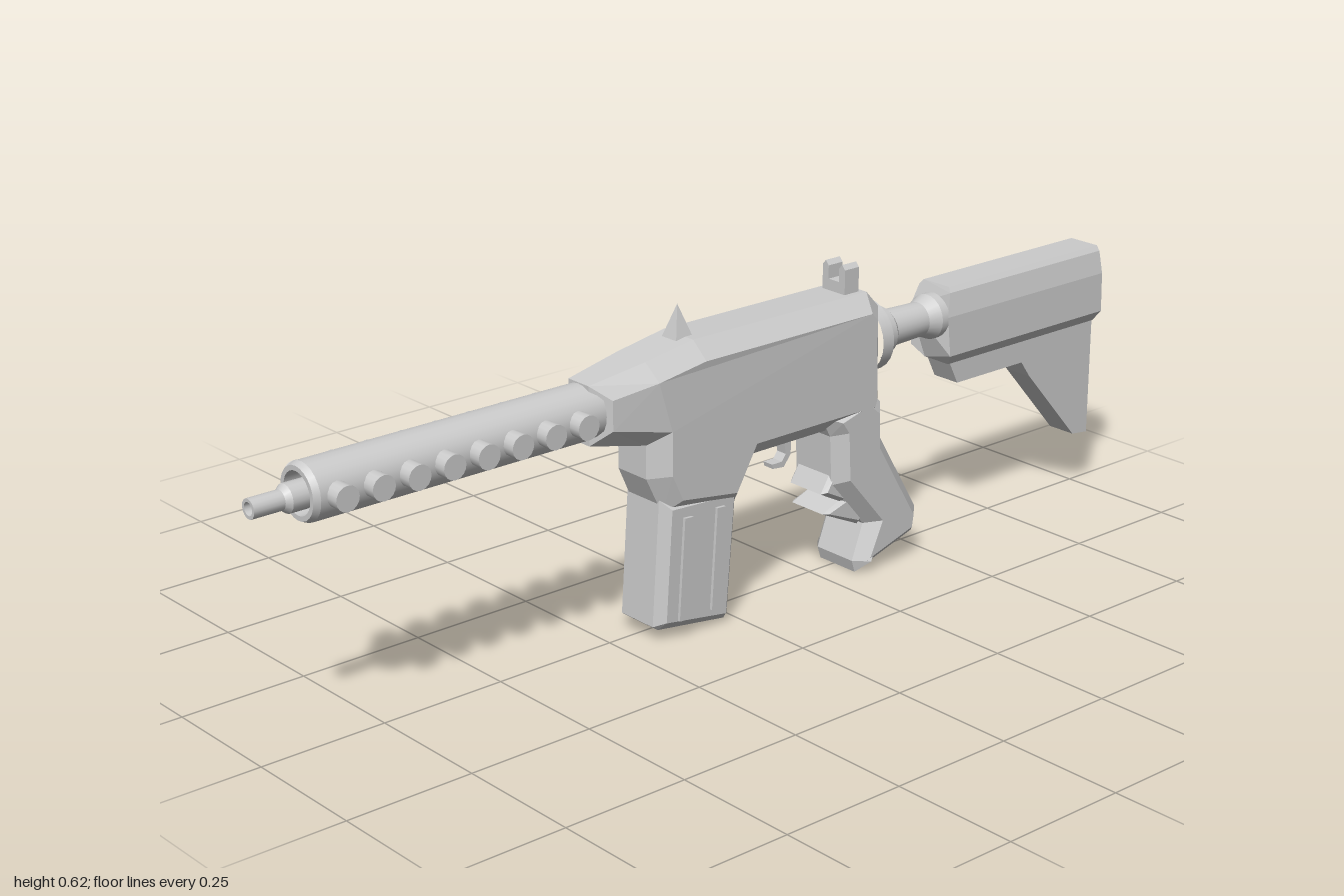
import * as THREE from 'three';

const grey = new THREE.MeshStandardMaterial({ color: 0xcccccc });
const flat = new THREE.MeshStandardMaterial({ color: 0xcccccc, flatShading: true });

function add(parent, name, geometry, material = flat) {
  const mesh = new THREE.Mesh(geometry, material);
  mesh.name = name;
  parent.add(mesh);
  return mesh;
}

// Side profile in x,y, extruded across z with chamfered rims
function plate(points, half, bevel = 0) {
  const shape = new THREE.Shape(points.map(([x, y]) => new THREE.Vector2(x, y)));
  const depth = 2 * (half - bevel);
  return new THREE.ExtrudeGeometry(shape, {
    depth, bevelEnabled: bevel > 0, bevelSize: bevel, bevelThickness: bevel,
    bevelOffset: -bevel, bevelSegments: 1, curveSegments: 6,
  }).translate(0, 0, -depth / 2);
}

// Cross-section in z,y, extruded along x from x0 to x1
function beam(points, x0, x1) {
  const shape = new THREE.Shape(points.map(([z, y]) => new THREE.Vector2(-z, y)));
  return new THREE.ExtrudeGeometry(shape, { depth: x1 - x0, bevelEnabled: false })
    .rotateY(Math.PI / 2).translate(x0, 0, 0);
}

// Turned part along x; points are [x, radius], with hard edges between segments
function turned(parent, name, points, y, sides = 24) {
  const g = new THREE.Group();
  g.name = name;
  for (let i = 0; i < points.length - 1; i++) {
    const pair = [points[i], points[i + 1]].map(([x, r]) => new THREE.Vector2(r, x));
    add(g, name + 'Section', new THREE.LatheGeometry(pair, sides).rotateZ(-Math.PI / 2), grey);
  }
  g.position.y = y;
  parent.add(g);
}

export function createModel() {
  const model = new THREE.Group();
  model.name = 'model';
  const g = new THREE.Group();
  g.name = 'assembly';
  g.position.z = 0.01;
  model.add(g);

  // Receiver with magazine well, narrowed toward the nose
  const body = plate([
    [-0.32, 0.415], [-0.2, 0.39], [-0.2, 0.325], [-0.165, 0.25], [0.005, 0.225],
    [0.055, 0.312], [0.36, 0.312], [0.375, 0.35], [0.372, 0.53], [0.34, 0.565],
    [-0.09, 0.565], [-0.2, 0.547], [-0.32, 0.527],
  ], 0.074, 0.033);
  const p = body.attributes.position;
  for (let i = 0; i < p.count; i++) {
    const t = THREE.MathUtils.clamp((-0.18 - p.getX(i)) / 0.13, 0, 1);
    p.setZ(i, p.getZ(i) * (1 - 0.32 * t));
  }
  body.computeVertexNormals();
  add(g, 'receiver', body);

  // Wedge-shaped ejection port cover on the back side
  add(g, 'ejectionCover', beam([[-0.05, 0.42], [-0.074, 0.42], [-0.097, 0.47], [-0.06, 0.545], [-0.04, 0.545]], 0.04, 0.2));

  // Magazine with raised ribs on both sides
  add(g, 'magazine', plate([
    [-0.175, 0.28], [-0.192, 0.035], [-0.18, 0.026], [-0.02, 0.004], [-0.012, 0.015], [0.01, 0.27],
  ], 0.062, 0.018));
  for (const z of [-0.062, 0.062]) {
    for (const x of [-0.13, -0.052]) {
      const rib = add(g, 'magazineRib', new THREE.BoxGeometry(0.02, 0.2, 0.012));
      rib.position.set(x, 0.14, z);
      rib.rotation.z = -0.07;
    }
  }

  // Pistol grip with two finger spurs
  add(g, 'grip', plate([
    [0.22, 0.345], [0.245, 0.3], [0.25, 0.2], [0.335, 0.1], [0.308, 0.028], [0.316, 0.003],
    [0.468, 0.05], [0.476, 0.1], [0.378, 0.265], [0.376, 0.34], [0.33, 0.38],
  ], 0.074, 0.026));
  add(g, 'fingerSpur', plate([[0.25, 0.22], [0.228, 0.185], [0.285, 0.155], [0.32, 0.19]], 0.05, 0.008));
  add(g, 'fingerSpur', plate([[0.29, 0.165], [0.233, 0.143], [0.325, 0.1], [0.35, 0.13]], 0.05, 0.008));

  // Curved trigger
  add(g, 'trigger', plate([
    [0.155, 0.33], [0.165, 0.275], [0.155, 0.262], [0.13, 0.262], [0.132, 0.253], [0.16, 0.25],
    [0.177, 0.272], [0.18, 0.33],
  ], 0.012));

  // Sights
  const front = add(g, 'frontSight', new THREE.ConeGeometry(0.028, 0.062, 4, 1).rotateY(Math.PI / 4));
  front.position.set(-0.092, 0.592, 0);
  add(g, 'rearSightBase', new THREE.BoxGeometry(0.036, 0.03, 0.06)).position.set(0.312, 0.572, 0);
  for (const s of [-1, 1]) {
    const a = s * 0.014, b = s * 0.03;
    const lo = Math.min(a, b), hi = Math.max(a, b);
    add(g, 'rearSightPost', beam([[hi, 0.56], [lo, 0.56], [lo, 0.613], [(a + b) / 2, 0.622], [hi, 0.613]], 0.294, 0.33));
  }

  // Hollow handguard and the barrel running through it
  turned(g, 'handguard', [
    [-0.3, 0.053], [-0.895, 0.053], [-0.907, 0.048], [-0.907, 0.039], [-0.85, 0.039], [-0.85, 0.001],
  ].reverse(), 0.472);
  turned(g, 'barrel', [
    [-0.96, 0], [-0.96, 0.012], [-1, 0.012], [-1, 0.018], [-0.94, 0.018], [-0.93, 0.026], [-0.84, 0.026],
  ], 0.469, 16);

  // Rows of round studs on both sides of the handguard
  for (let i = 0; i < 8; i++) {
    for (const s of [-1, 1]) {
      const stud = add(g, 'handguardStud', new THREE.CylinderGeometry(0.023, 0.023, 0.04, 16).rotateX(Math.PI / 2), grey);
      stud.position.set(-0.86 + i * 0.0715, 0.473, s * 0.058);
    }
  }

  // Rear collar and buffer tube
  turned(g, 'bufferTube', [
    [0.36, 0.07], [0.388, 0.07], [0.392, 0.052], [0.42, 0.048], [0.432, 0.037], [0.52, 0.034],
    [0.545, 0.045], [0.58, 0.045],
  ], 0.462);

  // Shoulder stock: tapered upper block, nose bevel and thin lower fin
  const section = [
    [0.032, 0.365], [0.054, 0.39], [0.052, 0.47], [0.042, 0.515], [0.034, 0.525],
  ];
  const full = [...section, ...section.map(([z, y]) => [-z, y]).reverse()];
  const stock = beam(full, 0.552, 0.998);
  const q = stock.attributes.position;
  for (let i = 0; i < q.count; i++) {
    if (q.getX(i) > 0.6) continue;
    // lean the front face back at its top and bottom
    const y = q.getY(i);
    q.setX(i, 0.552 + Math.max(0, y - 0.48) * 0.4 + Math.max(0, 0.4 - y) * 0.7);
  }
  stock.computeVertexNormals();
  add(g, 'stock', stock);
  add(g, 'stockFin', plate([
    [0.57, 0.39], [0.605, 0.32], [0.79, 0.32], [0.815, 0.285], [0.955, 0.127], [0.997, 0.122], [0.997, 0.39],
  ], 0.031));

  return model;
}
